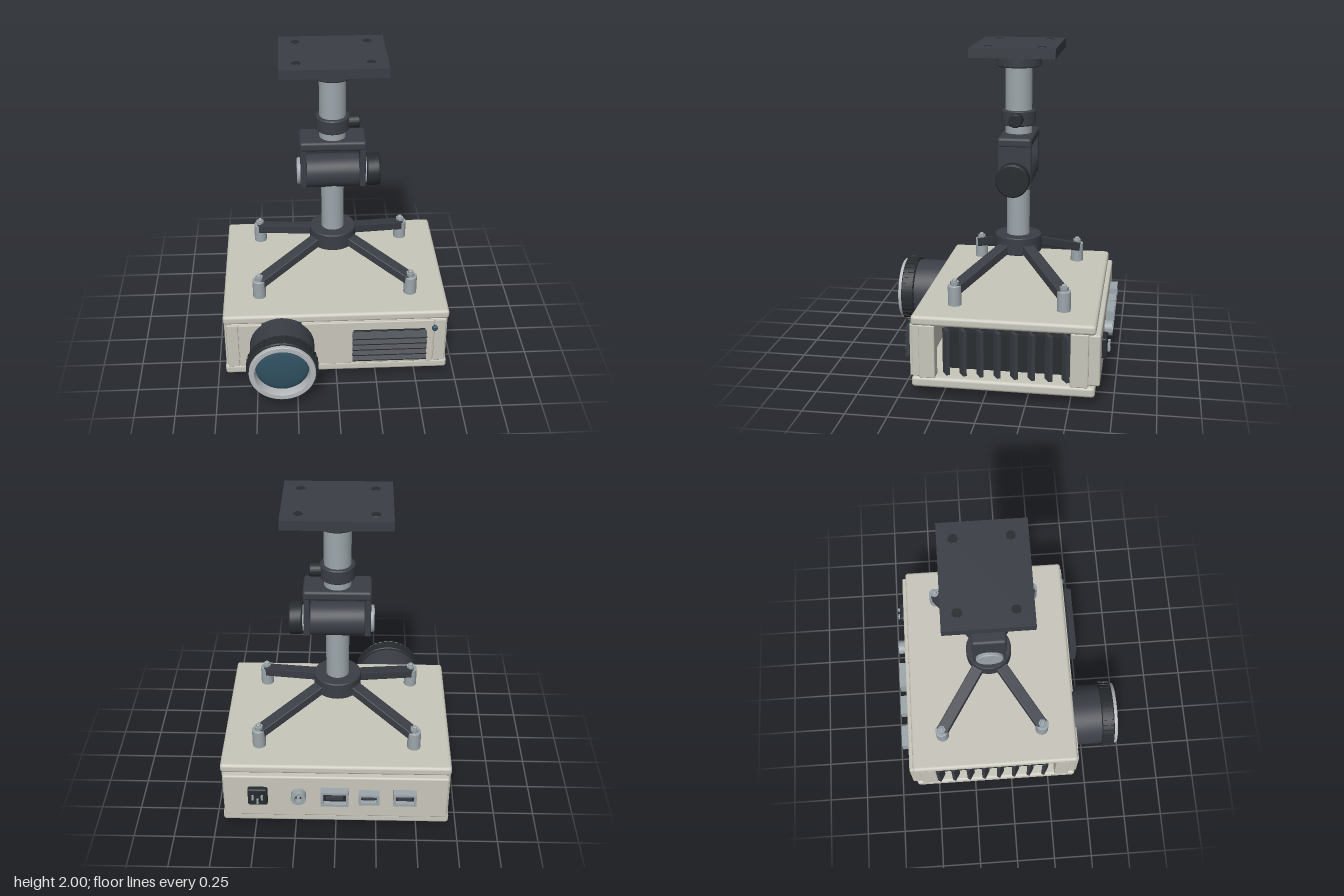
import * as THREE from 'three';
import { RoundedBoxGeometry } from 'three/addons/geometries/RoundedBoxGeometry.js';
import { toCreasedNormals } from 'three/addons/utils/BufferGeometryUtils.js';

const mat = (color) => new THREE.MeshStandardMaterial({ color });
const shell = mat(0xc8c6bb), dark = mat(0x3a3e45), black = mat(0x282c2f);
const metal = mat(0x9ca6ab), silver = mat(0xb4b7ba), glass = mat(0x305060);
const MID = -0.105; // z of the mount axis and of the case centre

export function createModel() {
  const root = new THREE.Group();
  const add = (name, geo, m, x = 0, y = 0, z = 0, parent = root) => {
    const mesh = new THREE.Mesh(geo, m);
    mesh.name = name;
    mesh.position.set(x, y, z);
    parent.add(mesh);
    return mesh;
  };
  const group = (name) => {
    const g = new THREE.Group();
    g.name = name;
    root.add(g);
    return g;
  };
  // box and rounded box given by their limits
  const box = (name, m, x0, x1, y0, y1, z0, z1, r = 0, parent = root) => add(name,
    r ? new RoundedBoxGeometry(x1 - x0, y1 - y0, z1 - z0, 3, r) : new THREE.BoxGeometry(x1 - x0, y1 - y0, z1 - z0),
    m, (x0 + x1) / 2, (y0 + y1) / 2, (z0 + z1) / 2, parent);
  // cylinder from a to b along an axis, with a small bevel on both rims
  const rod = (name, m, axis, r, a, b, x, y, z, bevel = 0.006, parent = root) => {
    const h = (b - a) / 2;
    const c = Math.min(bevel, h / 2, r / 2);
    const pts = [[0, -h], [r - c, -h], [r, -h + c], [r, h - c], [r - c, h], [0, h]];
    const geo = toCreasedNormals(new THREE.LatheGeometry(pts.map((p) => new THREE.Vector2(...p)), 40), 0.6);
    if (axis === 'x') geo.rotateZ(-Math.PI / 2);
    if (axis === 'z') geo.rotateX(Math.PI / 2);
    const mesh = add(name, geo, m, x, y, z, parent);
    mesh.position[axis] = (a + b) / 2;
    return mesh;
  };

  // Case: top and bottom covers, end panels, corner posts
  box('topCover', shell, -0.7, 0.7, 0.435, 0.495, -0.645, 0.432, 0.02);
  box('bottomCover', shell, -0.7, 0.7, 0.05, 0.115, -0.645, 0.432, 0.02);
  box('frontFrame', shell, -0.685, 0.685, 0.11, 0.44, 0.37, 0.43, 0.012);
  box('frontPanel', shell, -0.605, 0.605, 0.115, 0.437, 0.38, 0.443, 0.005);
  box('frontPanelEdge', shell, -0.68, -0.61, 0.115, 0.437, 0.38, 0.441, 0.005);
  box('frontPanelEdge', shell, 0.61, 0.68, 0.115, 0.437, 0.38, 0.441, 0.005);
  box('rearPanel', shell, -0.685, 0.685, 0.12, 0.435, -0.672, -0.6, 0.012);

  // Side vents with upright angled louvres
  box('ventCore', black, -0.64, 0.64, 0.16, 0.39, -0.5, 0.25);
  for (const s of [-1, 1]) {
    const side = group(s > 0 ? 'leftVent' : 'rightVent');
    const x0 = s > 0 ? 0.62 : -0.698;
    box('frontPost', shell, x0, x0 + 0.078, 0.11, 0.44, 0.29, 0.385, 0.008, side);
    box('rearPost', shell, x0, x0 + 0.078, 0.11, 0.44, -0.605, -0.5, 0.008, side);
    for (let i = 0; i < 8; i++) {
      const slat = add('louvre', new THREE.BoxGeometry(0.06, 0.277, 0.022), dark,
        s * 0.675, 0.278, 0.245 - 0.1 * i - 0.02, side);
      slat.rotation.y = s * 0.55;
    }
  }

  // Lens
  const lens = group('lens');
  const LX = -0.34, LY = 0.28;
  rod('barrel', dark, 'z', 0.2, 0.4, 0.63, LX, LY, 0, 0.004, lens);
  const tube = (name, m, pts) => {
    const geo = new THREE.LatheGeometry(pts.map((p) => new THREE.Vector2(...p)), 56);
    geo.rotateX(Math.PI / 2);
    add(name, toCreasedNormals(geo, 0.5), m, LX, LY, 0, lens);
  };
  tube('focusRing', black, [[0.17, 0.615], [0.21, 0.615], [0.215, 0.62], [0.215, 0.69], [0.21, 0.697], [0.17, 0.697]]);
  tube('frontRim', silver, [[0.19, 0.68], [0.202, 0.69], [0.202, 0.716], [0.198, 0.72], [0.17, 0.72], [0.162, 0.7], [0.162, 0.64]]);
  for (let i = 0; i < 36; i++) {
    const a = (i / 36) * Math.PI * 2;
    const rib = add('gripRib', new THREE.BoxGeometry(0.012, 0.018, 0.07), black,
      LX + 0.213 * Math.cos(a), LY + 0.213 * Math.sin(a), 0.656, lens);
    rib.rotation.z = a;
  }
  const dome = new THREE.SphereGeometry(0.164, 40, 12, 0, Math.PI * 2, 0, Math.PI / 2);
  dome.rotateX(Math.PI / 2).scale(1, 1, 0.2);
  add('lensGlass', dome, glass, LX, LY, 0.66, lens);

  // Front grille and status light
  const grille = group('frontGrille');
  box('grilleBack', black, 0.105, 0.55, 0.175, 0.378, 0.44, 0.462, 0, grille);
  for (let i = 0; i < 5; i++) {
    const slat = add('grilleSlat', new THREE.BoxGeometry(0.46, 0.016, 0.05), dark, 0.327, 0.192 + 0.042 * i, 0.477, grille);
    slat.rotation.x = 0.5;
  }
  rod('statusLight', glass, 'z', 0.018, 0.43, 0.46, 0.61, 0.38, 0);

  // Rear sockets: hollow rims with a dark inside and a tongue
  const ports = group('rearPorts');
  const rect = (P, w, h) => {
    const p = new P();
    p.moveTo(-w, -h); p.lineTo(w, -h); p.lineTo(w, h); p.lineTo(-w, h); p.closePath();
    return p;
  };
  for (const [x, w, h] of [[0.005, 0.085, 0.055], [-0.203, 0.063, 0.04], [-0.42, 0.071, 0.045]]) {
    const rim = rect(THREE.Shape, w, h);
    rim.holes.push(rect(THREE.Path, w - 0.016, h - 0.016));
    add('socketRim', new THREE.ExtrudeGeometry(rim, { depth: 0.05, bevelEnabled: false }), metal, x, 0.3, -0.72, ports);
    box('socketInside', black, x - w + 0.01, x + w - 0.01, 0.31 - h, 0.29 + h, -0.69, -0.66, 0, ports);
    box('socketTongue', dark, x - w * 0.6, x + w * 0.6, 0.292, 0.308, -0.71, -0.68, 0, ports);
  }
  const jack = new THREE.Shape().absarc(0, 0, 0.046, 0, Math.PI * 2);
  jack.holes.push(new THREE.Path().absarc(0, 0, 0.026, 0, Math.PI * 2));
  add('roundJack', toCreasedNormals(new THREE.ExtrudeGeometry(jack, { depth: 0.05, bevelEnabled: false, curveSegments: 20 }), 0.6),
    metal, 0.225, 0.3, -0.72, ports);
  rod('jackInside', black, 'z', 0.03, -0.69, -0.66, 0.225, 0.3, 0, 0.002, ports);
  rod('jackPin', metal, 'z', 0.01, -0.71, -0.68, 0.225, 0.3, 0, 0.002, ports);
  box('powerInlet', black, 0.414, 0.534, 0.23, 0.355, -0.703, -0.65, 0.012, ports);
  for (const [x, y] of [[0.446, 0.3], [0.502, 0.3], [0.474, 0.27]]) {
    box('powerPin', metal, x - 0.006, x + 0.006, y - 0.016, y + 0.016, -0.718, -0.69, 0, ports);
  }

  // Underside: feet and control pad
  for (const x of [-0.538, 0.538]) for (const z of [-0.43, 0.272]) rod('footScrew', metal, 'y', 0.024, 0.034, 0.06, x, 0, z);
  const pad = group('controlPad');
  box('padPlate', black, 0.08, 0.485, 0.024, 0.06, -0.24, 0.105, 0.008, pad);
  for (const [x, z] of [[0.4, -0.01], [0.4, -0.115], [0.317, -0.115], [0.317, -0.01], [0.358, -0.062]]) {
    rod('smallButton', silver, 'y', 0.019, 0.008, 0.03, x, 0, z, 0.004, pad);
  }
  rod('largeButton', silver, 'y', 0.038, 0.001, 0.03, 0.185, 0, -0.03, 0.004, pad);

  // Spider bracket: hub, four sloping arms, stand-offs
  const spider = group('spiderBracket');
  rod('hub', dark, 'y', 0.145, 0.705, 0.815, 0, 0, MID, 0.005, spider);
  for (const sx of [-1, 1]) for (const sz of [-1, 1]) {
    const x = sx * 0.475, z = MID - 0.01 + sz * 0.325;
    const from = new THREE.Vector3(sx * 0.07, 0.757, MID + sz * 0.047);
    const to = new THREE.Vector3(x, 0.59, z);
    const arm = add('arm', new RoundedBoxGeometry(0.075, 0.055, from.distanceTo(to), 2, 0.006), dark, 0, 0, 0, spider);
    arm.position.copy(from).lerp(to, 0.5);
    arm.lookAt(to);
    rod('standOff', metal, 'y', 0.041, 0.485, 0.618, x, 0, z, 0.004, spider);
    add('nut', new THREE.CylinderGeometry(0.027, 0.027, 0.025, 6), metal, x, 0.628, z, spider);
    rod('boltTip', metal, 'y', 0.015, 0.63, 0.655, x, 0, z, 0.004, spider);
  }

  // Tilt joint
  rod('lowerPole', metal, 'y', 0.071, 0.8, 1.18, 0, 0, MID);
  const joint = group('tiltJoint');
  rod('tiltBarrel', dark, 'x', 0.105, -0.168, 0.168, 0, 1.213, MID, 0.008, joint);
  box('yokeTop', dark, -0.204, 0.204, 1.395, 1.455, MID - 0.104, MID + 0.104, 0.018, joint);
  for (const s of [-1, 1]) {
    const x = s * 0.182;
    box('yokeCheek', dark, x - 0.018, x + 0.018, 1.145, 1.43, MID - 0.1, MID + 0.1, 0.006, joint);
  }
  rod('pivotCap', metal, 'x', 0.083, -0.222, -0.19, 0, 1.213, MID, 0.006, joint);
  rod('washer', metal, 'x', 0.083, 0.19, 0.212, 0, 1.213, MID, 0.003, joint);
  rod('tiltKnob', black, 'x', 0.1, 0.21, 0.292, 0, 1.213, MID, 0.008, joint);

  // Upper pole, clamp and ceiling plate
  rod('upperPole', metal, 'y', 0.081, 1.45, 1.9, 0, 0, MID);
  rod('clampCollar', dark, 'y', 0.104, 1.505, 1.597, 0, 0, MID);
  rod('clampScrew', black, 'x', 0.041, 0.09, 0.166, 0, 1.55, MID);
  rod('flange', dark, 'y', 0.136, 1.86, 1.945, 0, 0, MID);
  box('ceilingPlate', dark, -0.315, 0.315, 1.94, 1.998, MID - 0.251, MID + 0.251);
  for (const x of [-0.215, 0.215]) for (const z of [-0.157, 0.157]) {
    rod('plateScrew', black, 'y', 0.027, 1.938, 2, x, 0, MID - 0.005 + z, 0.001);
  }
  return root;
}
